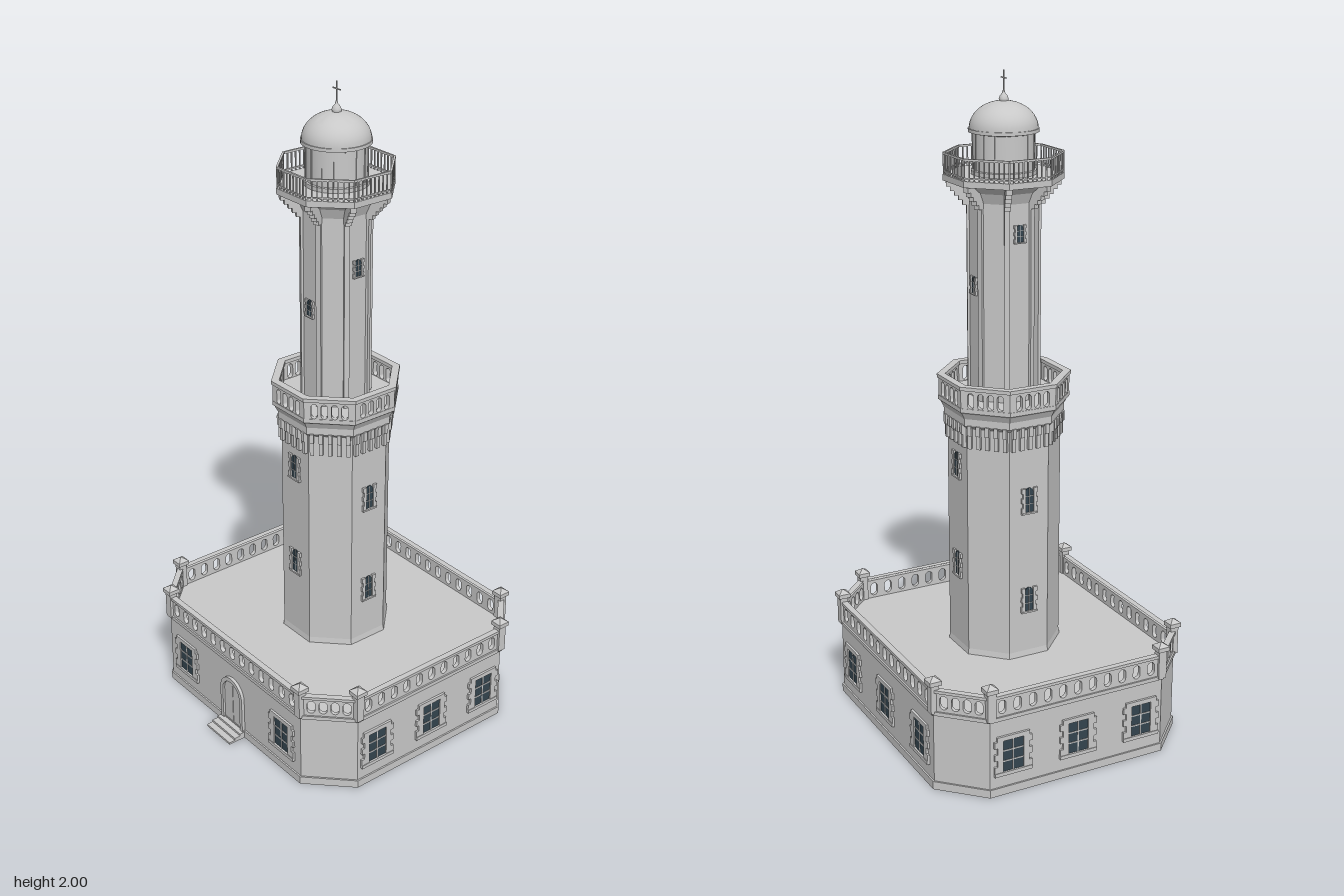
import * as THREE from 'three';
import { toCreasedNormals } from 'three/addons/utils/BufferGeometryUtils.js';

const mat = (name, color) => Object.assign(new THREE.MeshStandardMaterial({ color }), { name });
const stone = mat('stone', 0xc8c8c8);
const glass = mat('glass', 0x33444e);
const K = Math.cos(Math.PI / 8);

function add(parent, name, geo, x = 0, y = 0, z = 0, material = stone) {
  const m = new THREE.Mesh(geo, material);
  m.name = name;
  m.position.set(x, y, z);
  parent.add(m);
  return m;
}
const box = (p, name, w, h, d, x, y, z, material) =>
  add(p, name, new THREE.BoxGeometry(w, h, d), x, y, z, material);

// Eight-sided solid from [apothem, height] pairs, flats facing the axes
function octagon(p, name, profile) {
  const pts = profile.map(([a, y]) => new THREE.Vector2(a / K, y));
  const g = new THREE.LatheGeometry(pts, 8, Math.PI / 8).toNonIndexed();
  g.computeVertexNormals();
  return add(p, name, g);
}
// Smooth round solid with creased edges
function turned(p, name, profile, seg = 40) {
  const g = new THREE.LatheGeometry(profile.map(([r, y]) => new THREE.Vector2(r, y)), seg);
  return add(p, name, toCreasedNormals(g, 0.6));
}

// Chamfered base outline, offset by d
function baseOutline(d = 0) {
  const X = 0.46 + d, Z = 0.408 + d, cx = 0.34 + d * 0.414, cz = 0.288 + d * 0.414;
  return [[cx, Z], [X, cz], [X, -cz], [cx, -Z], [-cx, -Z], [-X, -cz], [-X, cz], [-cx, Z]]
    .map(([x, z]) => new THREE.Vector2(x, z));
}
function octOutline(apothem) {
  return Array.from({ length: 8 }, (_, i) => {
    const a = Math.PI / 8 + i * Math.PI / 4;
    return new THREE.Vector2(Math.sin(a), Math.cos(a)).multiplyScalar(apothem / K);
  });
}
function slab(p, name, d, y0, y1, hole) {
  const s = new THREE.Shape(baseOutline(d));
  if (hole !== undefined) s.holes.push(new THREE.Path(baseOutline(hole)));
  const g = new THREE.ExtrudeGeometry(s, { depth: y1 - y0, bevelEnabled: false });
  g.rotateX(-Math.PI / 2);
  return add(p, name, g, 0, y0, 0);
}
// One group per outline edge: local z points outward, x runs along the edge
function onEdges(p, name, pts, build) {
  pts.forEach((a, i) => {
    const b = pts[(i + 1) % pts.length];
    const mid = a.clone().add(b).multiplyScalar(0.5);
    const dir = b.clone().sub(a);
    let n = new THREE.Vector2(-dir.y, dir.x);
    if (n.dot(mid) < 0) n.negate();
    const g = new THREE.Group();
    g.name = name;
    g.position.set(mid.x, 0, mid.y);
    g.rotation.y = Math.atan2(n.x, n.y);
    p.add(g);
    build(g, dir.length());
  });
}

// Wall outline with a round top
function archPath(T, w, h, y0 = 0) {
  const s = new T(), r = w / 2;
  s.moveTo(-r, y0);
  s.lineTo(r, y0);
  s.lineTo(r, y0 + h - r);
  s.absarc(0, y0 + h - r, r, 0, Math.PI, false);
  s.lineTo(-r, y0);
  return s;
}
const extrude = (s, depth) => new THREE.ExtrudeGeometry(s, { depth, bevelEnabled: false, curveSegments: 8 });

// Pierced parapet panel with round-ended slots
function pierced(p, len, y0, h, count, sw, sh, t) {
  const s = new THREE.Shape();
  s.moveTo(-len / 2, 0); s.lineTo(len / 2, 0); s.lineTo(len / 2, h); s.lineTo(-len / 2, h); s.closePath();
  const pitch = (len - 0.03) / count, r = sw / 2;
  for (let i = 0; i < count; i++) {
    const x = (i + 0.5 - count / 2) * pitch, lo = h / 2 - sh / 2 + r, hi = h / 2 + sh / 2 - r;
    const o = new THREE.Path();
    o.absarc(x, hi, r, 0, Math.PI, false);
    o.absarc(x, lo, r, Math.PI, Math.PI * 2, false);
    o.closePath();
    s.holes.push(o);
  }
  add(p, 'parapetPanel', extrude(s, t), 0, y0, -t);
}

// Window with bars and toothed stone surround; y is its centre
function windowUnit(p, w, h, y, arched, quoin, x = 0, z = 0) {
  const g = new THREE.Group();
  g.name = 'window';
  g.position.set(x, y - h / 2, z);
  p.add(g);
  const bar = w * 0.06;
  if (arched) add(g, 'windowGlass', extrude(archPath(THREE.Shape, w, h), 0.003), 0, 0, 0, glass);
  else box(g, 'windowGlass', w, h, 0.006, 0, h / 2, 0, glass);
  box(g, 'windowBar', bar, h, 0.002, 0, h / 2, 0.0035);
  for (const k of [1, 2]) box(g, 'windowBar', w, bar, 0.002, 0, h * k / 3, 0.0035);
  const n = 5;
  for (const s of [-1, 1]) for (let i = 0; i < n; i++) {
    const bw = quoin * (i % 2 ? 0.65 : 1);
    box(g, 'surroundBlock', bw, h / n, 0.012, s * (w / 2 + bw / 2), h * (i + 0.5) / n, 0.001);
  }
  box(g, 'windowSill', w + quoin * 2, quoin * 0.4, 0.016, 0, -quoin * 0.2, 0.001);
  if (!arched) box(g, 'windowLintel', w + quoin * 1.4, quoin * 0.5, 0.012, 0, h + quoin * 0.25, 0.001);
}
function facing(p, name, angle, dist) {
  const g = new THREE.Group();
  g.name = name;
  g.rotation.y = angle;
  g.position.set(Math.sin(angle) * dist, 0, Math.cos(angle) * dist);
  p.add(g);
  return g;
}

export function createModel() {
  const root = new THREE.Group();
  root.name = 'lighthouse';
  const m = new THREE.Group();
  m.name = 'building';
  m.position.z = -0.0255;
  root.add(m);

  // Base building
  slab(m, 'plinth', 0.005, 0, 0.025);
  slab(m, 'baseWalls', 0, 0.025, 0.245);
  slab(m, 'terrace', 0.006, 0.24, 0.252);
  slab(m, 'parapetCoping', 0.006, 0.311, 0.32, -0.013);
  onEdges(m, 'baseParapet', baseOutline(0.001), (g, len) =>
    pierced(g, len, 0.25, 0.063, len < 0.2 ? 4 : Math.round(len / 0.053), 0.024, 0.042, 0.013));

  // Corner posts with pyramid caps
  for (const sx of [-1, 1]) for (const sz of [-1, 1]) for (const [x, z] of [[0.335, 0.405], [0.456, 0.285]]) {
    const g = new THREE.Group();
    g.name = 'cornerPost';
    g.position.set(sx * x, 0, sz * z);
    m.add(g);
    box(g, 'postShaft', 0.026, 0.09, 0.026, 0, 0.29, 0);
    box(g, 'postCap', 0.038, 0.013, 0.038, 0, 0.3405, 0);
    const tip = new THREE.ConeGeometry(0.019 * Math.SQRT2, 0.013, 4, 1).toNonIndexed();
    tip.computeVertexNormals();
    tip.rotateY(Math.PI / 4);
    add(g, 'postTip', tip, 0, 0.3535, 0);
  }

  // Base windows
  const sides = [0, 1, 2, 3].map(i => facing(m, 'baseFace', i * Math.PI / 2, i % 2 ? 0.46 : 0.408));
  sides.forEach((g, i) => {
    const spots = i === 0 ? [-0.25, 0.25] : i === 2 ? [-0.25, 0, 0.25] : [-0.215, 0, 0.215];
    for (const x of spots) windowUnit(g, 0.066, 0.1, 0.125, false, 0.028, x);
  });

  // Door, arch and steps
  const frame = archPath(THREE.Shape, 0.112, 0.17, 0.02);
  frame.holes.push(archPath(THREE.Path, 0.086, 0.155, 0.021));
  add(m, 'doorArch', extrude(frame, 0.01), 0, 0, 0.408);
  add(m, 'door', extrude(archPath(THREE.Shape, 0.088, 0.155, 0.02), 0.003), 0, 0, 0.408);
  box(m, 'doorSeam', 0.003, 0.14, 0.003, 0, 0.09, 0.411);
  [[0.021, 0.43], [0.014, 0.45], [0.007, 0.4705]].forEach(([h, z]) =>
    box(m, 'step', 0.12, h, z - 0.4, 0, h / 2, (z + 0.4) / 2));

  // Lower tower
  octagon(m, 'lowerShaft', [[0.16, 0.25], [0.157, 0.27], [0.157, 1.0]]);
  octagon(m, 'lowerGallery', [[0.157, 0.98], [0.167, 0.99], [0.167, 1.012], [0.176, 1.03], [0.182, 1.035], [0.182, 1.048], [0.05, 1.048]]);
  onEdges(m, 'lowerCorbels', octOutline(0.157), g => {
    for (let i = 0; i < 5; i++) {
      const x = (i - 2) * 0.027;
      box(g, 'corbel', 0.012, 0.07, 0.012, x, 0.955, 0.004);
      box(g, 'corbelHead', 0.012, 0.03, 0.018, x, 0.977, 0.006);
    }
  });
  onEdges(m, 'lowerParapet', octOutline(0.181), (g, len) => pierced(g, len, 1.04, 0.065, 4, 0.019, 0.046, 0.015));
  octagon(m, 'lowerCoping', [[0.162, 1.103], [0.185, 1.103], [0.185, 1.114], [0.162, 1.114], [0.162, 1.103]]);

  // Upper tower with corner ribs
  octagon(m, 'upperShaft', [[0.096, 1.04], [0.096, 1.7]]);
  octOutline(0.096).forEach((v, i) => {
    const a = Math.PI / 8 + i * Math.PI / 4;
    const g = facing(m, 'cornerRib', a, 0.1);
    box(g, 'rib', 0.016, 0.6, 0.016, 0, 1.34, 0);
    // Stepped bracket under the upper gallery
    for (let k = 0; k < 5; k++) {
      const d = 0.02 + k * 0.0115;
      box(g, 'bracketStep', 0.018, 0.0145, d, 0, 1.627 + k * 0.0135, d / 2);
    }
  });

  // Tower windows, climbing around the shaft
  [[0.85, 0.52, 1.35], [0.76, 0.44, 1.48], [0.85, 0.53, 1.39], [0.76, 0.44, 1.55]].forEach(([a, b, c], i) => {
    const low = facing(m, 'lowerFace', i * Math.PI / 2, 0.157);
    for (const y of [a, b]) windowUnit(low, 0.027, 0.076, y, true, 0.013);
    windowUnit(facing(m, 'upperFace', i * Math.PI / 2, 0.096), 0.022, 0.05, c, true, 0.008);
  });

  // Upper gallery and railing
  octagon(m, 'upperGallery', [[0.096, 1.635], [0.108, 1.665], [0.13, 1.684], [0.162, 1.69], [0.162, 1.708], [0.04, 1.708]]);
  onEdges(m, 'railing', octOutline(0.159), (g, len) => {
    box(g, 'topRail', len, 0.006, 0.006, 0, 1.768, 0);
    box(g, 'bottomRail', len, 0.004, 0.004, 0, 1.716, 0);
    for (let i = 0; i < 9; i++) box(g, 'baluster', 0.0035, 0.062, 0.0035, (i / 9 - 0.5) * len, 1.738, 0);
  });

  // Lantern, dome, finial and cross
  turned(m, 'lanternDrum', [[0.094, 1.705], [0.094, 1.72], [0.089, 1.722], [0.089, 1.825], [0.095, 1.83]]);
  for (let i = 0; i < 16; i++)
    box(facing(m, 'lanternBar', i * Math.PI / 8, 0.089), 'bar', 0.004, 0.106, 0.004, 0, 1.773, 0);
  const dome = [[0.088, 1.826], [0.102, 1.828], [0.102, 1.838]];
  for (let i = 0; i <= 12; i++) {
    const t = i / 12 * Math.PI / 2;
    dome.push([0.099 * Math.cos(t), 1.838 + 0.077 * Math.sin(t)]);
  }
  turned(m, 'dome', dome);
  turned(m, 'finial', [[0.012, 1.908], [0.014, 1.92], [0.011, 1.928], [0.005, 1.935], [0.002, 1.945], [0, 1.946]], 16);
  box(m, 'crossPost', 0.003, 0.07, 0.003, 0, 1.965, 0);
  box(m, 'crossArm', 0.034, 0.003, 0.003, 0, 1.978, 0);
  return root;
}
